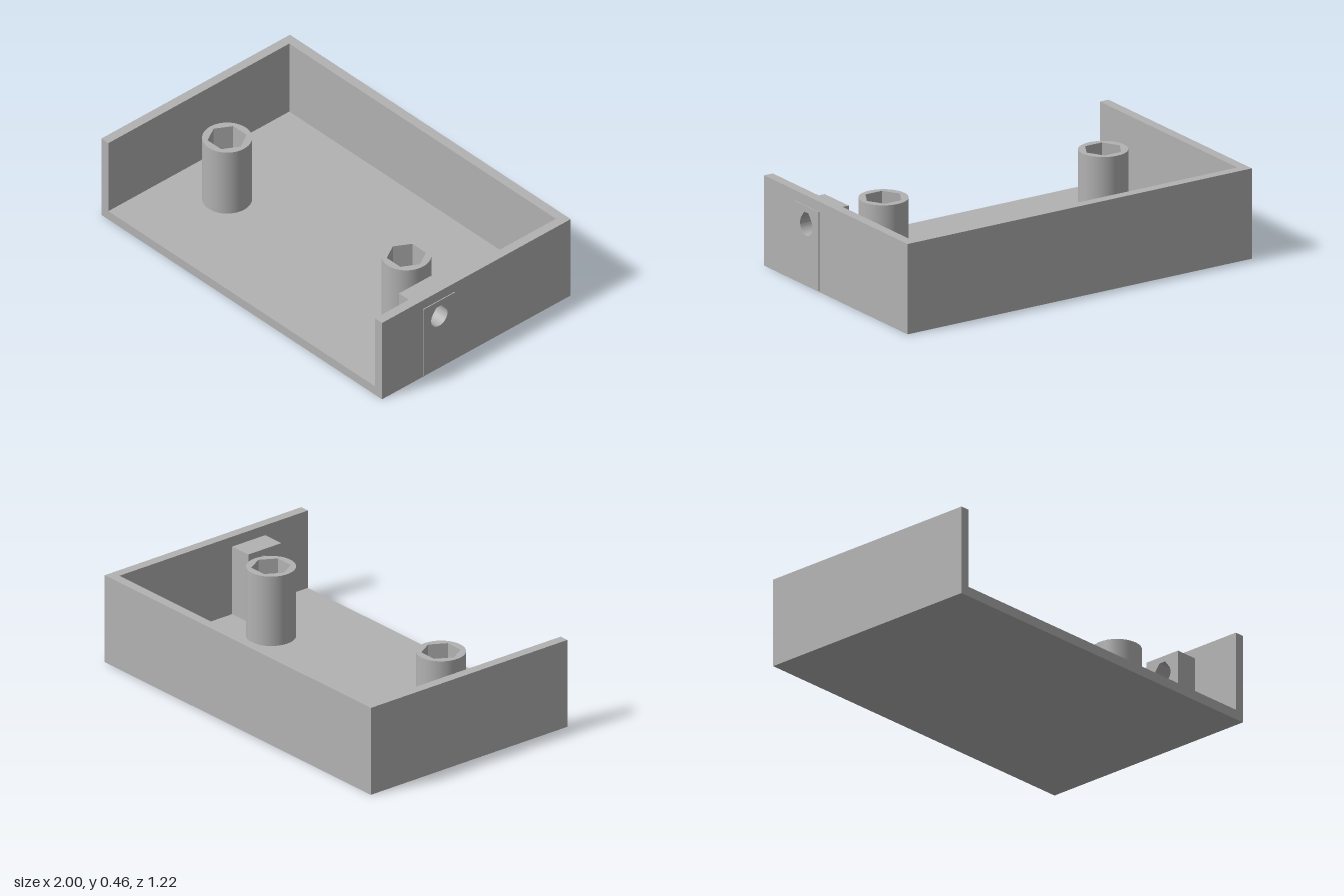
import * as THREE from 'three';
import { toCreasedNormals } from 'three/addons/utils/BufferGeometryUtils.js';

const X0 = -1, X1 = 0.99, Z = 0.612, H = 0.457, T = 0.05;

export function createModel() {
  const group = new THREE.Group();
  const grey = new THREE.MeshStandardMaterial({ color: 0xb2b2b2, side: THREE.DoubleSide });
  grey.name = 'plain grey';

  const add = (name, geometry, parent = group) => {
    const mesh = new THREE.Mesh(geometry, grey);
    mesh.name = name;
    parent.add(mesh);
    return mesh;
  };
  // box given by its two corners
  const box = (name, x0, x1, y0, y1, z0, z1) =>
    add(name, new THREE.BoxGeometry(x1 - x0, y1 - y0, z1 - z0)
      .translate((x0 + x1) / 2, (y0 + y1) / 2, (z0 + z1) / 2));
  // rectangle in the side plane, drawn with u = -z
  const rect = (z0, z1, y0, y1) => [[-z1, y0], [-z0, y0], [-z0, y1], [-z1, y1]]
    .map(([u, v]) => new THREE.Vector2(u, v));
  // side-plane shape extruded along x
  const slab = (name, shape, x0, x1) =>
    add(name, toCreasedNormals(new THREE.ExtrudeGeometry(shape,
      { depth: x1 - x0, bevelEnabled: false, curveSegments: 40 })
      .rotateY(Math.PI / 2).translate(x0, 0, 0), 0.4));

  // tray, open at the front and top
  box('floor', X0, X1 - T, 0, T, -Z, Z);
  box('backWall', X0 + T, X1 - T, T, H, -Z, -Z + T);
  box('rightWall', X0, X0 + T, T, H, -Z, Z);

  // left wall with a notch filled by the cable block
  const block = [0.141, 0.346, 0.005, 0.405];
  const wall = new THREE.Shape(rect(-Z, Z, 0, H));
  wall.holes.push(new THREE.Path(rect(...block)));
  slab('leftWall', wall, X1 - T, X1);

  // cable block with a flat-topped teardrop bore
  const cu = -0.245, cv = 0.31, r = 0.053, a = 35 * Math.PI / 180;
  const bore = new THREE.Path();
  bore.moveTo(cu + 0.018, cv + 0.064);
  bore.lineTo(cu - 0.018, cv + 0.064);
  bore.absarc(cu, cv, r, Math.PI - a, Math.PI * 2 + a, false);
  bore.closePath();
  const blockShape = new THREE.Shape(rect(...block));
  blockShape.holes.push(bore);
  slab('cableBlock', blockShape, 0.82, 0.995);

  // screw posts with a hexagonal nut pocket above a round bore
  const R = 0.12, hexR = 0.096, boreR = 0.045, top = 0.415, ledge = 0.25;
  const tube = (radius, y0, y1, sides) =>
    new THREE.CylinderGeometry(radius, radius, y1 - y0, sides, 1, true, Math.PI / 2)
      .translate(0, (y0 + y1) / 2, 0);
  const circle = (Type, radius) => new Type().absarc(0, 0, radius, 0, Math.PI * 2, false);
  const hexPoints = Array.from({ length: 6 }, (_, i) =>
    new THREE.Vector2(hexR * Math.cos(i * Math.PI / 3), hexR * Math.sin(i * Math.PI / 3)));
  const face = (shape, hole, y) => {
    shape.holes.push(hole);
    return new THREE.ShapeGeometry(shape, 48).rotateX(-Math.PI / 2).translate(0, y, 0);
  };
  for (const [name, x] of [['rightPost', -0.64], ['leftPost', 0.63]]) {
    const post = new THREE.Group();
    post.name = name;
    post.position.set(x, 0, 0.125);
    add('postSide', tube(R, T, top, 64), post);
    add('postRim', face(circle(THREE.Shape, R), new THREE.Path(hexPoints), top), post);
    add('nutPocket', toCreasedNormals(tube(hexR, ledge, top, 6), 0.4), post);
    add('nutLedge', face(new THREE.Shape(hexPoints), circle(THREE.Path, boreR), ledge), post);
    add('screwBore', tube(boreR, T, ledge, 48), post);
    group.add(post);
  }
  return group;
}
